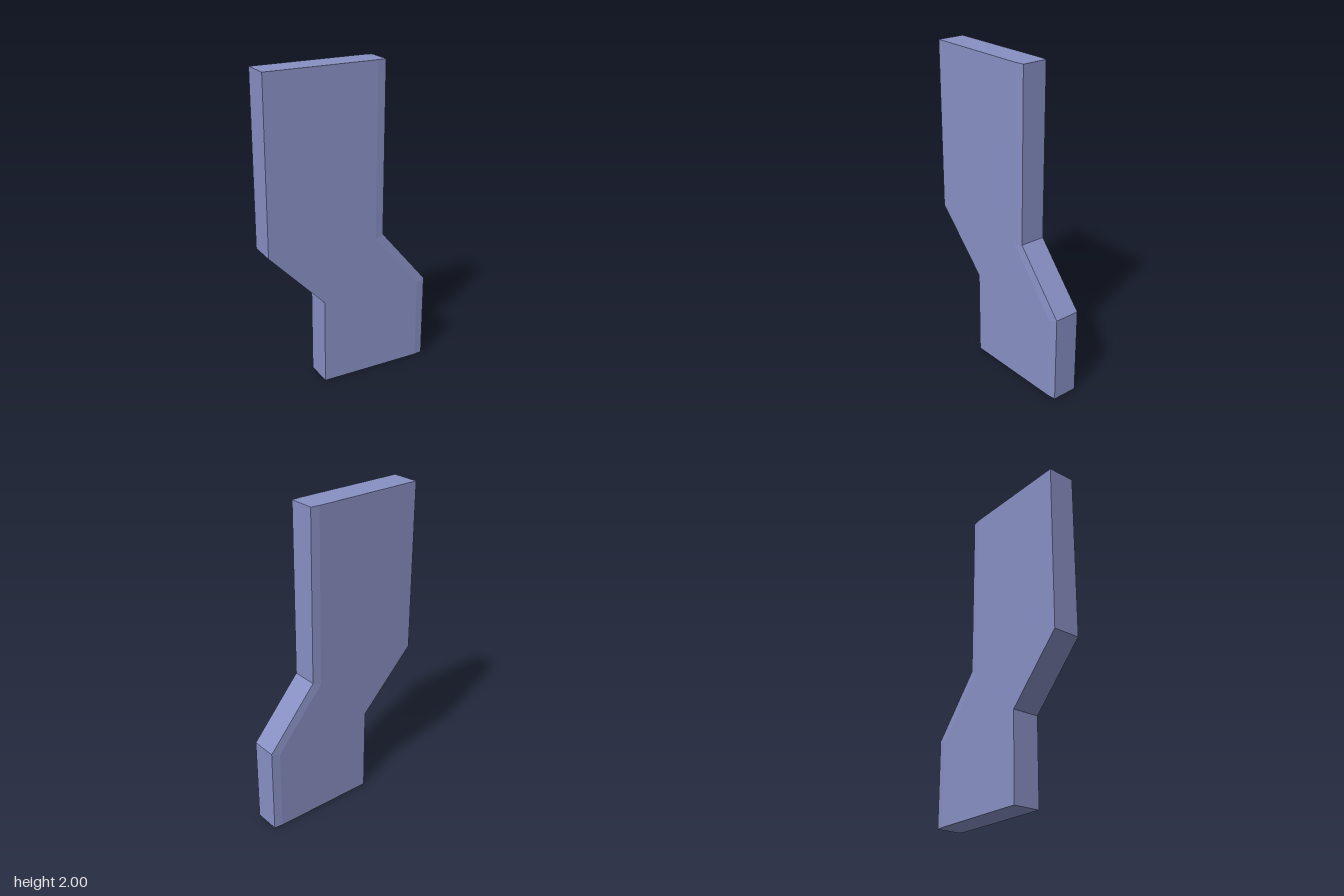
import * as THREE from 'three';

// Cranked plate: [height, left edge x, right edge x, drop of the bevel line at the bend]
const LEVELS = [
  [0, -0.185, 0.54, 0],
  [0.55, -0.185, 0.54, 0.02],
  [0.92, -0.545, 0.225, 0.02],
  [2, -0.545, 0.225, 0],
];
const HALF = 0.089; // half thickness of the plate
const EDGE = 0.082; // half thickness at the bevelled edge
const BEVEL = 0.055; // width of the bevel

// Six-sided cross-section, bevelled along the right-hand edge
function section([y, left, right, drop]) {
  const inner = right - BEVEL;
  return [
    [left, y, HALF], [inner, y - drop, HALF], [right, y, EDGE],
    [right, y, -EDGE], [inner, y - drop, -HALF], [left, y, -HALF],
  ];
}

function plateGeometry() {
  const rings = LEVELS.map(section);
  const n = rings[0].length;
  const positions = [];
  const tri = (a, b, c) => positions.push(...a, ...b, ...c);

  // Walls between neighbouring sections
  for (let j = 0; j < rings.length - 1; j++) {
    const lower = rings[j], upper = rings[j + 1];
    for (let i = 0; i < n; i++) {
      const k = (i + 1) % n;
      tri(lower[i], lower[k], upper[k]);
      tri(lower[i], upper[k], upper[i]);
    }
  }
  // Bottom and top caps
  const bottom = rings[0], top = rings[rings.length - 1];
  for (let i = 1; i < n - 1; i++) {
    tri(bottom[0], bottom[i + 1], bottom[i]);
    tri(top[0], top[i], top[i + 1]);
  }

  const geometry = new THREE.BufferGeometry();
  geometry.setAttribute('position', new THREE.Float32BufferAttribute(positions, 3));
  geometry.computeVertexNormals();
  return geometry;
}

export function createModel() {
  const group = new THREE.Group();
  group.name = 'crankedPlate';
  const material = new THREE.MeshStandardMaterial({ color: 0x8890c4, flatShading: true });
  const plate = new THREE.Mesh(plateGeometry(), material);
  plate.name = 'plate';
  group.add(plate);
  return group;
}
